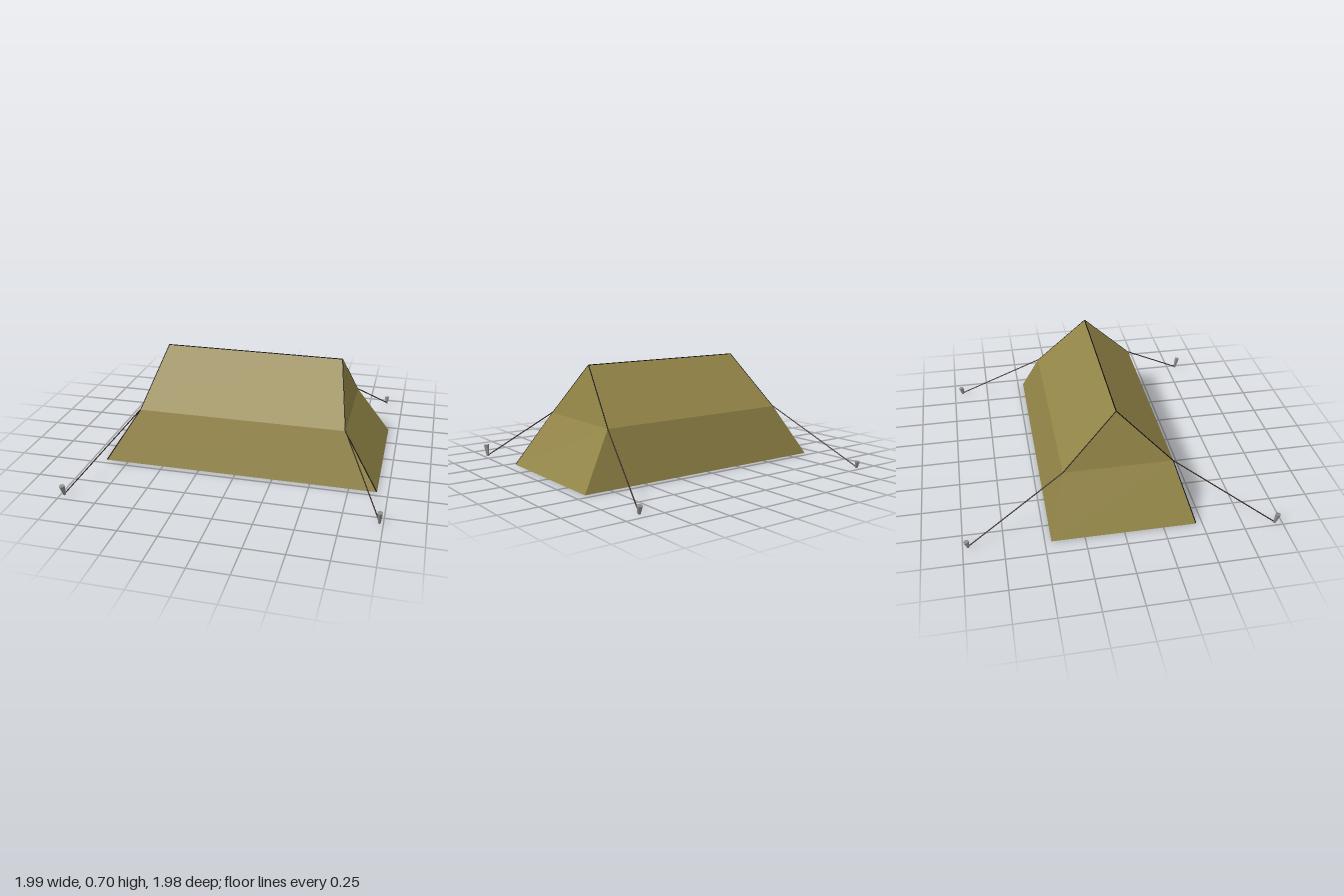
import * as THREE from 'three';

const canvas = new THREE.MeshStandardMaterial({ color: 0x938547 });
canvas.name = 'olive canvas';
const poleMat = new THREE.MeshStandardMaterial({ color: 0x0c0b09 });
poleMat.name = 'black pole';
const ropeMat = new THREE.MeshStandardMaterial({ color: 0x3a2820 });
ropeMat.name = 'brown rope';
const pegMat = new THREE.MeshStandardMaterial({ color: 0x8c8c8c });
pegMat.name = 'grey metal';

const V = (x, y, z) => new THREE.Vector3(x, y, z);

// rectangular ring of four corners, starting front -x, counter-clockwise from above
const ring = (x0, x1, y, z) => [V(x0, y, z), V(x1, y, z), V(x1, y, -z), V(x0, y, -z)];

// straight tapered rod between two points
function rod(name, a, b, rA, rB, sides, material) {
  const dir = b.clone().sub(a);
  const geo = new THREE.CylinderGeometry(rB, rA, dir.length(), sides);
  const mesh = new THREE.Mesh(geo, material);
  mesh.name = name;
  mesh.position.copy(a).add(b).multiplyScalar(0.5);
  mesh.quaternion.setFromUnitVectors(V(0, 1, 0), dir.normalize());
  return mesh;
}

// flat-faced shell lofted through the rings, closed by a floor
function tentGeometry(rings) {
  const pts = [];
  const tri = (a, b, c) => {
    if (b.clone().sub(a).cross(c.clone().sub(a)).length() > 1e-6) pts.push(a, b, c);
  };
  const quad = (a, b, c, d) => { tri(a, b, c); tri(a, c, d); };
  for (let r = 0; r < rings.length - 1; r++) {
    for (let i = 0; i < 4; i++) {
      const j = (i + 1) % 4;
      quad(rings[r][i], rings[r][j], rings[r + 1][j], rings[r + 1][i]);
    }
  }
  const f = rings[0];
  quad(f[0], f[3], f[2], f[1]);
  const geo = new THREE.BufferGeometry().setFromPoints(pts);
  geo.computeVertexNormals();
  return geo;
}

export function createModel() {
  const group = new THREE.Group();
  group.name = 'tent';

  // canvas: base, eaves and ridge
  const base = ring(-0.9, 0.93, 0, 0.46);
  const eaves = ring(-0.68, 0.7, 0.35, 0.35);
  const ridge = ring(-0.58, 0.62, 0.7, 0);
  const shell = new THREE.Mesh(tentGeometry([base, eaves, ridge]), canvas);
  shell.name = 'canvasShell';
  group.add(shell);

  // slim poles just showing at the seams
  const inset = (p) => V(p.x * 0.997, Math.max(p.y - 0.001, 0.003), p.z * 0.997);
  const pole = (name, a, b) => group.add(rod(name, inset(a), inset(b), 0.0035, 0.0035, 6, poleMat));
  pole('ridgePole', ridge[0], ridge[1]);
  for (let i = 0; i < 4; i++) {
    pole('upperPole', eaves[i], ridge[i]);
    if (i < 2) pole('lowerPole', base[i], eaves[i]);
  }

  // guy ropes and outward-leaning pegs: foot, head
  const pegs = [
    [V(-0.975, 0, 0.95), V(-0.98, 0.07, 0.967)],
    [V(0.976, 0, 0.81), V(0.977, 0.08, 0.828)],
    [V(0.877, 0, -0.94), V(0.879, 0.05, -0.95)],
    [V(-0.86, 0, -0.965), V(-0.859, 0.045, -0.976)],
  ];
  pegs.forEach(([foot, head], i) => {
    group.add(rod('guyRope', eaves[i], V(foot.x, 0.006, foot.z), 0.004, 0.004, 5, ropeMat));
    const peg = rod('peg', foot, head, 0.009, 0.018, 6, pegMat);
    peg.geometry = peg.geometry.toNonIndexed();
    peg.geometry.computeVertexNormals();
    group.add(peg);
  });

  return group;
}
